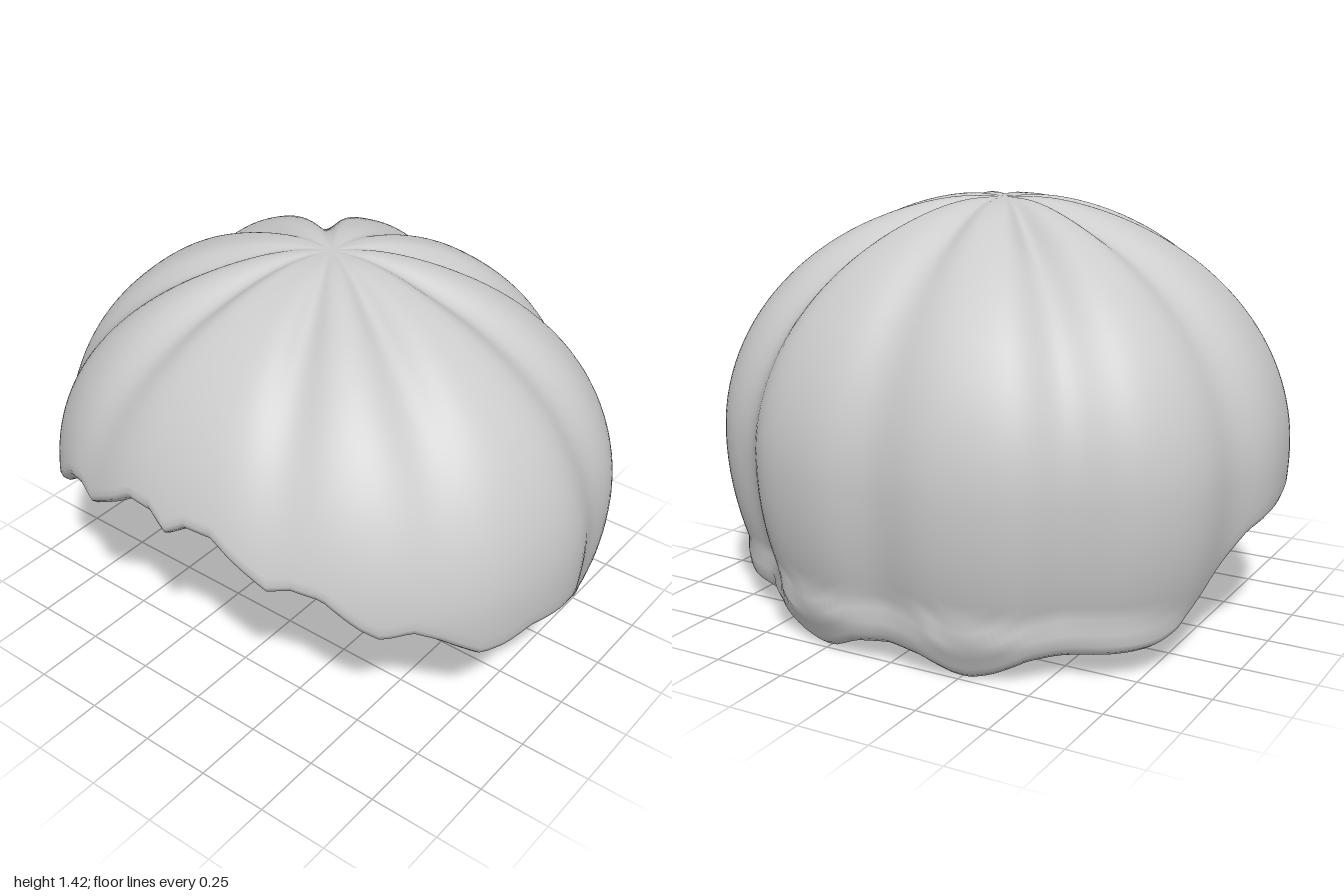
import * as THREE from 'three';

const SEGMENTS = 216, ROWS = 44;
const EQUATOR = 0.6, TOP = 0.83, BOTTOM = 1.05;

// Ragged lower edge: [degrees from the front, height]
const RIM = [[0, 0.765], [5, 0.81], [12, 0.81], [16, 0.77], [25, 0.69], [30, 0.71], [36, 0.695],
  [43, 0.6], [47, 0.56], [53, 0.575], [58, 0.53], [67, 0.425], [72, 0.43], [78, 0.46], [90, 0.43],
  [96, 0.4], [105, 0.27], [113, 0.135], [119, 0.1], [133, 0.088], [146, 0.075], [154, 0.02],
  [159, 0], [163, 0.01], [171, 0.06], [180, 0.075]];

// Grooves running down from the crown: [degrees, depth, width, reaches the rim]
const GROOVES = [[27, 0.035, 8, 0], [60, 0.04, 8, 0.3], [102, 0.04, 8, 1], [138, 0.055, 8, 1], [180, 0.035, 9, 1]];

const { smoothstep, clamp } = THREE.MathUtils;

function rimHeight(deg) {
  const k = Math.max(1, RIM.findIndex(p => p[0] >= deg));
  const [a, ya] = RIM[k - 1], [b, yb] = RIM[k];
  return ya + (yb - ya) * clamp((deg - a) / (b - a), 0, 1);
}

function planRadius(theta) {
  const ellipse = 1 / Math.hypot(Math.sin(theta), Math.cos(theta) / 0.88);
  return ellipse + 0.018 * Math.sin(2 * theta) ** 2;
}

// Angle from the crown at a given height
const angleAt = y => Math.acos(clamp((y - EQUATOR) / (y > EQUATOR ? TOP : BOTTOM), -1, 1));

// Radius and height of the grooved shell at an angle from the crown
function shellPoint(theta, deg, phi) {
  const s = Math.sin(phi), c = Math.cos(phi);
  let r = planRadius(theta) * s, y = EQUATOR + c * (c > 0 ? TOP : BOTTOM);
  let dent = 0;
  for (const [at, depth, width, reach] of GROOVES) {
    const fade = c > 0 ? reach + (1 - reach) * Math.min(1, 1.3 * c) : reach;
    dent += depth * fade * Math.exp(-(((deg - at) / width) ** 2));
  }
  dent *= smoothstep(r, 0, 0.45);
  y -= dent * Math.max(c, 0) + 0.012 * Math.exp(-((r / 0.12) ** 2));
  r -= dent * s;
  // low swelling band along the nape
  r += 0.035 * smoothstep(deg, 105, 125) * (1 - smoothstep(y, 0.15, 0.21));
  return [r, y];
}

export function createModel() {
  const positions = [], index = [];
  const lipRows = 10, total = ROWS + lipRows;
  for (let j = 0; j < SEGMENTS; j++) {
    const theta = (j / SEGMENTS) * Math.PI * 2;
    const deg = Math.abs(((j / SEGMENTS) * 360 + 180) % 360 - 180);
    const rim = rimHeight(deg);
    const lipHeight = 0.13 + 0.15 * smoothstep(deg, 60, 140);
    const add = (r, y) => positions.push(r * Math.sin(theta), y, r * Math.cos(theta));
    // outer dome
    const end = angleAt(rim + 0.035);
    for (let i = 0; i < ROWS; i++) add(...shellPoint(theta, deg, end * i / (ROWS - 1)));
    // rounded edge, then the lip folded up inside
    const [edge] = shellPoint(theta, deg, end);
    [[0.008, 0.014], [0.028, 0], [0.052, 0.004], [0.068, 0.025]].forEach(([inset, up]) => add(edge - inset, rim + up));
    for (let i = 1; i <= 6; i++) {
      const y = rim + 0.025 + (lipHeight - 0.025) * i / 6;
      const [r] = shellPoint(theta, deg, angleAt(y));
      const inset = 0.068 - 0.03 * i / 6;
      add(Math.min(r, edge + 0.12) - inset, y);
    }
  }
  const at = (j, i) => i === 0 ? 0 : (j % SEGMENTS) * total + i;
  for (let j = 0; j < SEGMENTS; j++) {
    for (let i = 0; i < total - 1; i++) {
      const a = at(j, i), b = at(j, i + 1), c = at(j + 1, i + 1), d = at(j + 1, i);
      index.push(a, b, c);
      if (i > 0) index.push(a, c, d);
    }
  }
  const geometry = new THREE.BufferGeometry();
  geometry.setAttribute('position', new THREE.Float32BufferAttribute(positions, 3));
  geometry.setIndex(index);
  geometry.computeVertexNormals();

  const material = new THREE.MeshStandardMaterial({ color: 0xcccccc, side: THREE.DoubleSide });
  material.name = 'light grey';
  const cap = new THREE.Mesh(geometry, material);
  cap.name = 'groovedCap';
  const group = new THREE.Group();
  group.name = 'cap';
  group.add(cap);
  return group;
}
